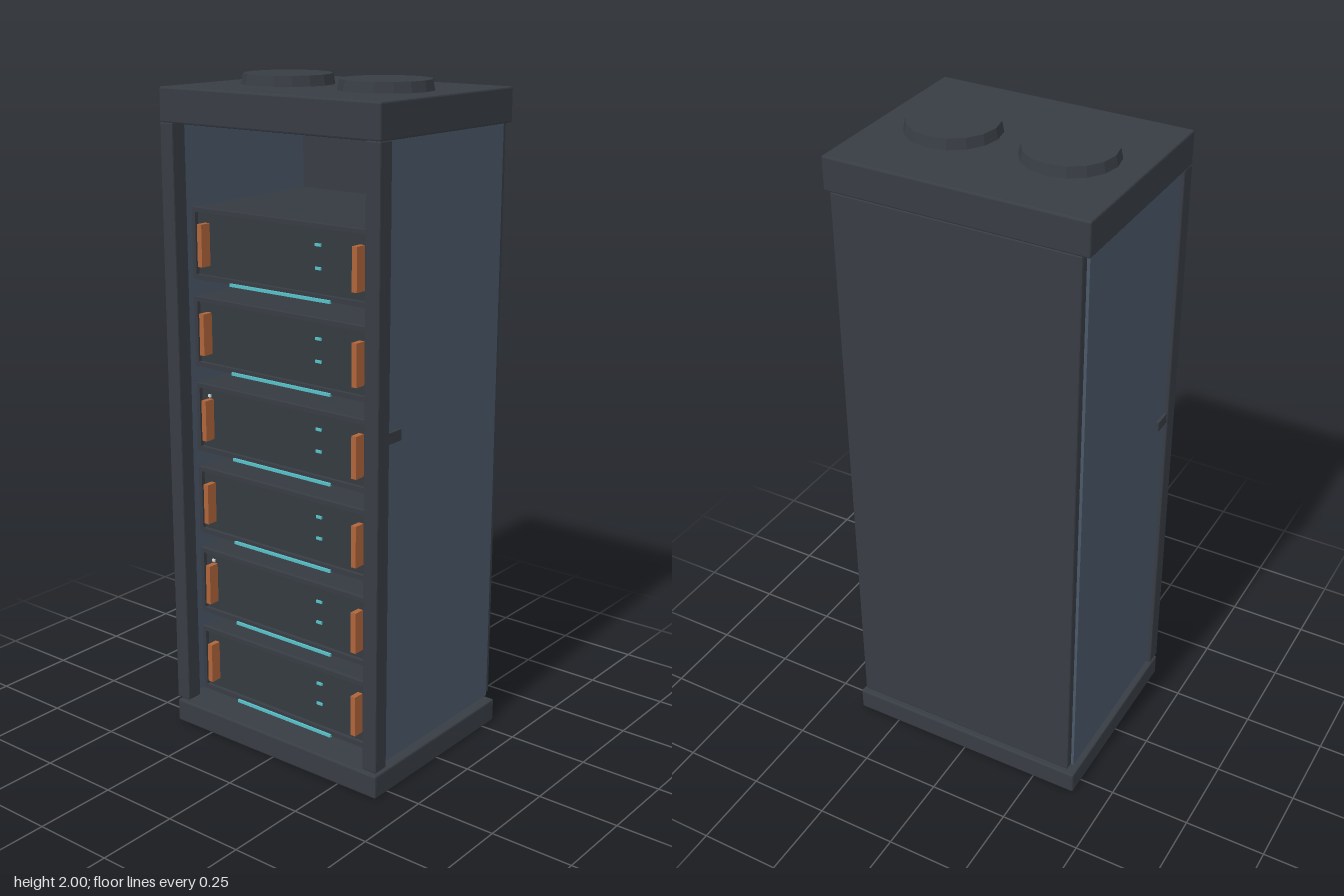
import * as THREE from 'three';
import { RoundedBoxGeometry } from 'three/addons/geometries/RoundedBoxGeometry.js';

export function createModel() {
  const mat = (name, color) => {
    const m = new THREE.MeshStandardMaterial({ color });
    m.name = name;
    return m;
  };
  const frame = mat('dark grey metal', 0x383d44);
  const face = mat('unit grey', 0x353a40);
  const blue = mat('blue grey panel', 0x4a5868);
  const copper = mat('copper', 0xb0653a);
  const cyan = mat('cyan light', 0x55c0c8);
  const pale = mat('pale light', 0xd0dde0);

  const cabinet = new THREE.Group();
  cabinet.name = 'serverCabinet';

  // Box given by its limits, with an optional small bevel
  function box(parent, name, m, [x0, x1], [y0, y1], [z0, z1], bevel = 0) {
    const size = [x1 - x0, y1 - y0, z1 - z0];
    const g = bevel ? new RoundedBoxGeometry(...size, 1, bevel) : new THREE.BoxGeometry(...size);
    const mesh = new THREE.Mesh(g, m);
    mesh.name = name;
    mesh.position.set((x0 + x1) / 2, (y0 + y1) / 2, (z0 + z1) / 2);
    parent.add(mesh);
    return mesh;
  }
  const mirrored = (s, a, b) => (s > 0 ? [a, b] : [-b, -a]);

  // Plinth, cap and back
  box(cabinet, 'base', frame, [-0.39, 0.39], [0, 0.072], [-0.31, 0.31], 0.005);
  box(cabinet, 'cap', frame, [-0.39, 0.39], [1.87, 1.97], [-0.31, 0.31], 0.005);
  box(cabinet, 'backPanel', frame, [-0.37, 0.37], [0.092, 1.872], [-0.31, -0.282], 0.004);

  for (const s of [-1, 1]) {
    // Front posts, side panels and side latches
    box(cabinet, 'frontPost', frame, mirrored(s, 0.342, 0.39), [0.082, 1.872], [0.258, 0.31], 0.004);
    box(cabinet, 'sidePanel', blue, mirrored(s, 0.355, 0.378), [0.092, 1.872], [-0.284, 0.26]);
    box(cabinet, 'sideLatch', frame, mirrored(s, 0.37, 0.387), [1.055, 1.087], [0.2, 0.258]);

    // Round roof vents
    const vent = new THREE.Mesh(new THREE.CylinderGeometry(0.13, 0.137, 0.035, 16), frame);
    vent.material.flatShading = true;
    vent.name = 'roofVent';
    vent.position.set(s * 0.175, 1.9825, 0);
    cabinet.add(vent);
  }

  // Bezel ring around each unit front
  const ring = new THREE.Shape([[-0.33, -0.105], [0.33, -0.105], [0.33, 0.105], [-0.33, 0.105]]
    .map(p => new THREE.Vector2(...p)));
  ring.holes.push(new THREE.Path([[-0.317, -0.09], [-0.317, 0.092], [0.317, 0.092], [0.317, -0.09]]
    .map(p => new THREE.Vector2(...p))));
  const bezelGeometry = new THREE.ExtrudeGeometry(ring, { depth: 0.012, bevelEnabled: false });

  // Six stacked units
  for (let i = 0; i < 6; i++) {
    const unit = new THREE.Group();
    unit.name = 'unit' + (i + 1);
    unit.position.y = 0.215 + i * 0.262;
    cabinet.add(unit);

    box(unit, 'unitBody', face, [-0.33, 0.33], [-0.105, 0.105], [-0.26, 0.24]);
    const bezel = new THREE.Mesh(bezelGeometry, frame);
    bezel.name = 'bezel';
    bezel.position.z = 0.24;
    unit.add(bezel);

    for (const s of [-1, 1]) {
      box(unit, 'handle', copper, mirrored(s, 0.272, 0.289), [-0.062, 0.062], [0.24, 0.275]);
    }
    box(unit, 'lightStrip', cyan, [-0.183, 0.183], [-0.109, -0.1], [0.25, 0.258]);

    // Status lights
    for (const y of [0.045, -0.02]) {
      box(unit, 'statusLight', cyan, [0.121, 0.141], [y - 0.004, y + 0.004], [0.24, 0.245]);
    }
    if (i % 2 === 0 || i === 4 ? false : i < 5) {
      box(unit, 'cornerLight', pale, [-0.29, -0.28], [0.066, 0.074], [0.24, 0.245]);
    }
  }
  return cabinet;
}
